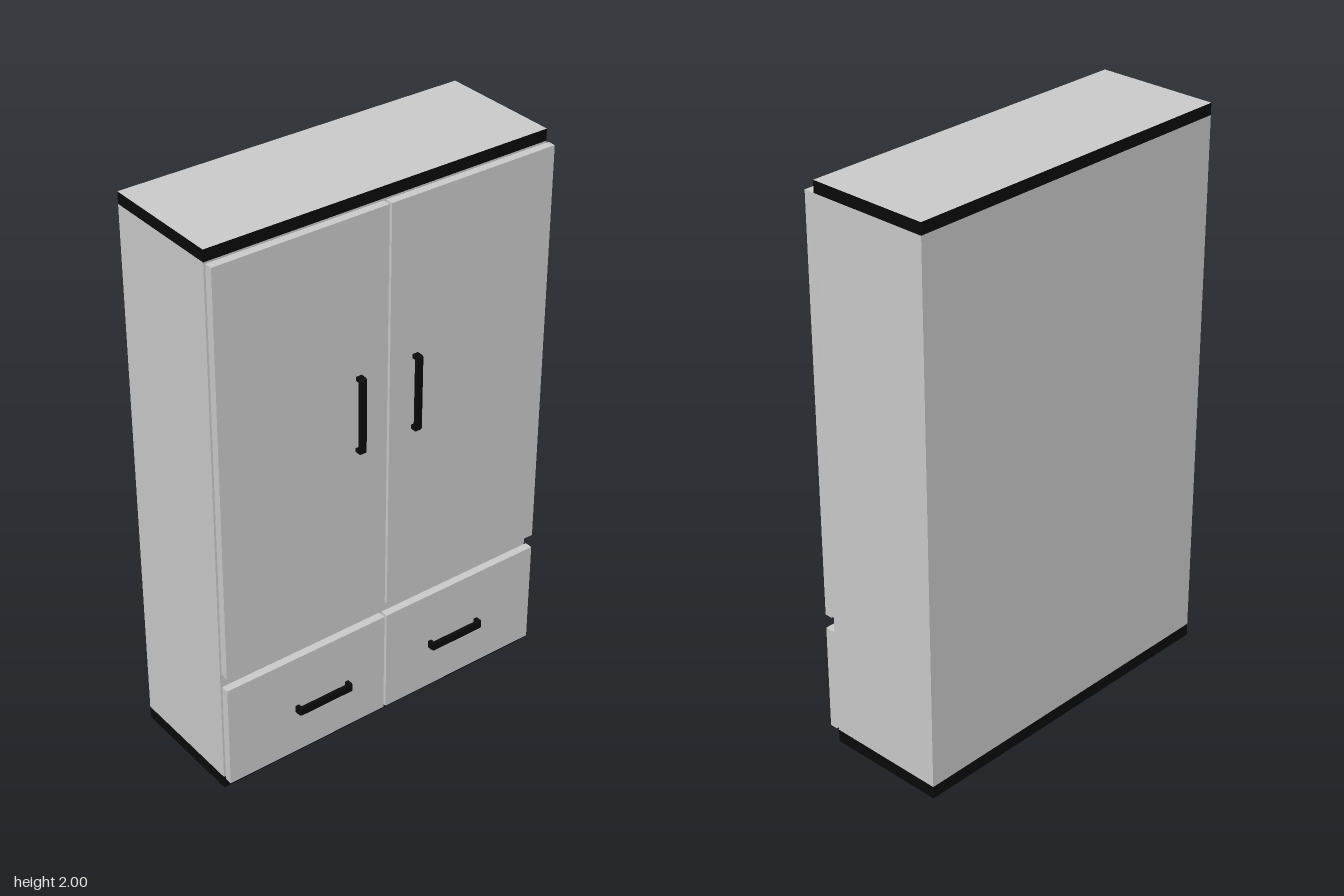
import * as THREE from 'three';

const grey = new THREE.MeshStandardMaterial({ color: 0xcccccc });
const black = new THREE.MeshStandardMaterial({ color: 0x0a0a0a });

export function createModel() {
  const model = new THREE.Group();

  const add = (name, geometry, material, x, y, z) => {
    const mesh = new THREE.Mesh(geometry, material);
    mesh.name = name;
    mesh.position.set(x, y, z);
    model.add(mesh);
    return mesh;
  };

  // Carcass with black edging around the top and bottom boards
  const W = 1.246, D = 0.432, zMid = -0.034;
  const edging = [black, black, grey, grey, black, black];
  add('carcass', new THREE.BoxGeometry(W, 1.875, D), grey, 0, 1.0225, zMid);
  add('topBoard', new THREE.BoxGeometry(W, 0.04, D), edging, 0, 1.98, zMid);
  add('bottomBoard', new THREE.BoxGeometry(W, 0.045, D), edging, 0, 0.0625, zMid);

  // Front panel with its rear edges chamfered
  const panel = (name, x0, x1, y0, y1) => {
    const w = x1 - x0, h = y1 - y0, d = 0.038, inset = 0.01;
    let g = new THREE.BoxGeometry(w, h, d, 1, 1, 2);
    const p = g.attributes.position;
    for (let i = 0; i < p.count; i++) {
      const z = p.getZ(i);
      if (z < -0.001) {
        p.setX(i, p.getX(i) - Math.sign(p.getX(i)) * inset);
        p.setY(i, p.getY(i) - Math.sign(p.getY(i)) * inset);
      } else if (z < 0.001) p.setZ(i, -d / 2 + 0.01);
    }
    g = g.toNonIndexed();
    g.computeVertexNormals();
    add(name, g, grey, (x0 + x1) / 2, (y0 + y1) / 2, 0.182 + d / 2);
  };
  for (const [side, x0, x1] of [['right', -0.623, -0.006], ['left', 0.003, 0.623]]) {
    panel(side + 'Door', x0, x1, 0.515, 1.96);
    panel(side + 'DrawerFront', x0, x1, 0.085, 0.465);
  }

  // Bracket handle: a flat bar with rounded corners and two short posts
  const handleGeometry = (length, width) => {
    const a = length / 2, t = 0.014, h = 0.028, r = 0.009;
    const s = new THREE.Shape();
    s.moveTo(-a, 0);
    s.lineTo(-a, h - r);
    s.quadraticCurveTo(-a, h, -a + r, h);
    s.lineTo(a - r, h);
    s.quadraticCurveTo(a, h, a, h - r);
    s.lineTo(a, 0);
    s.lineTo(a - t, 0);
    s.lineTo(a - t, h - t);
    s.lineTo(-a + t, h - t);
    s.lineTo(-a + t, 0);
    s.closePath();
    const g = new THREE.ExtrudeGeometry(s, { depth: width, bevelEnabled: false, curveSegments: 4 });
    // Shape height points forward (+z), width along y
    return g.translate(0, 0, -width / 2).rotateX(Math.PI / 2);
  };
  const doorHandle = handleGeometry(0.268, 0.021).rotateZ(Math.PI / 2);
  const drawerHandle = handleGeometry(0.212, 0.025);
  add('rightDoorHandle', doorHandle, black, -0.115, 1.29, 0.219);
  add('leftDoorHandle', doorHandle, black, 0.099, 1.29, 0.219);
  add('rightDrawerHandle', drawerHandle, black, -0.259, 0.262, 0.219);
  add('leftDrawerHandle', drawerHandle, black, 0.286, 0.262, 0.219);

  // Tapered feet, narrower at the floor
  const footGeometry = (w, h, d) => {
    const g = new THREE.BoxGeometry(w, h, d).toNonIndexed();
    const p = g.attributes.position;
    for (let i = 0; i < p.count; i++) {
      if (p.getY(i) < 0) {
        p.setX(i, p.getX(i) * 0.76);
        p.setZ(i, p.getZ(i) * 0.8);
      }
    }
    g.computeVertexNormals();
    return g;
  };
  for (const [side, x] of [['right', -0.463], ['left', 0.475]]) {
    add(side + 'FrontFoot', footGeometry(0.09, 0.04, 0.154), grey, x, 0.02, 0.073);
    add(side + 'BackFoot', footGeometry(0.09, 0.04, 0.17), grey, x, 0.02, -0.12);
  }

  return model;
}
